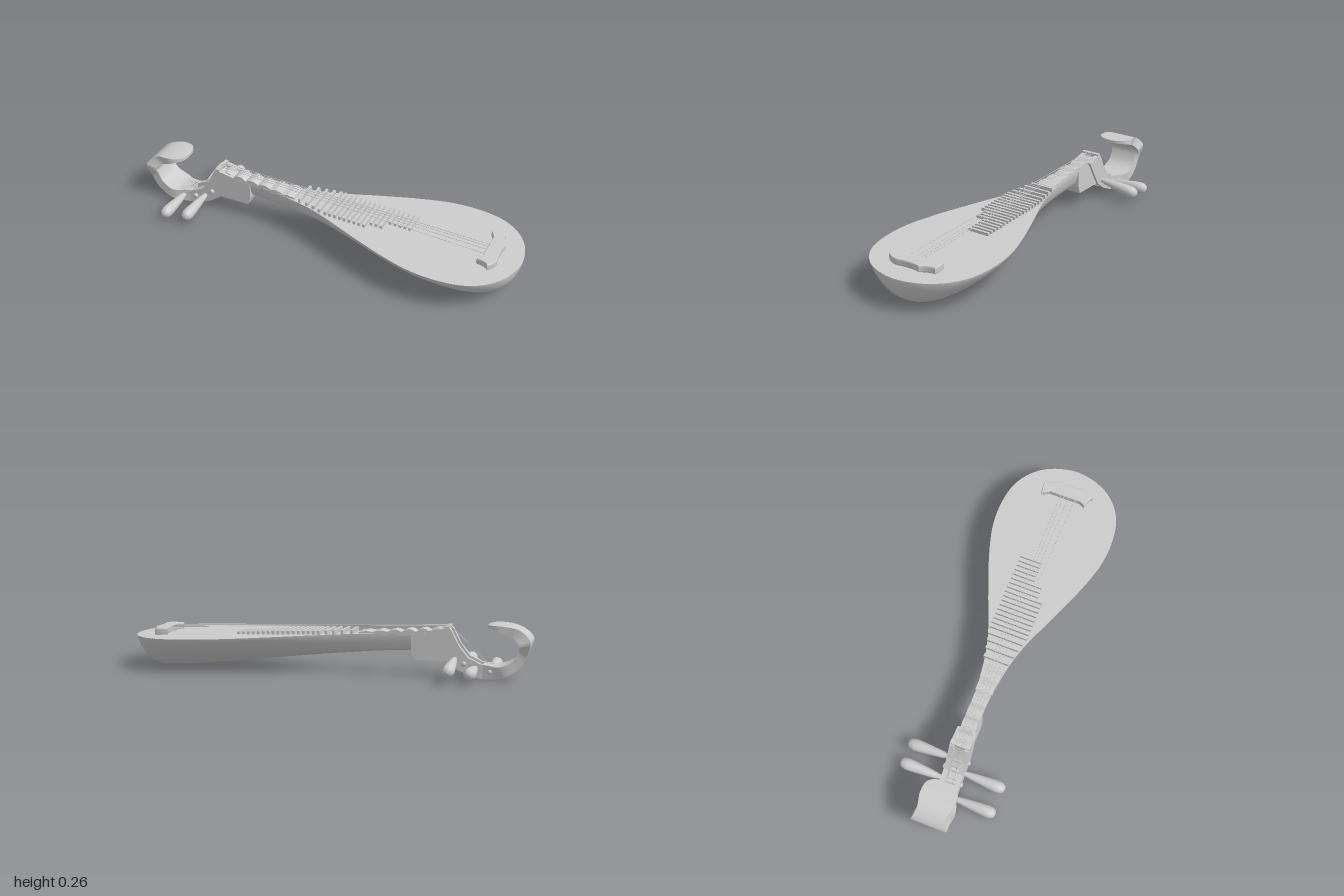
import * as THREE from 'three';
import { toCreasedNormals } from 'three/addons/utils/BufferGeometryUtils.js';

const material = new THREE.MeshStandardMaterial({ color: 0xcccccc, side: THREE.DoubleSide });
const topY = (x) => 0.196 - 0.031 * x; // soundboard height along the body

// Skin a row of equal-length rings of points and cap both ends
function loft(rings, crease = 0.7) {
  const n = rings[0].length, pos = rings.flat(2), index = [];
  for (let i = 0; i < rings.length - 1; i++) {
    for (let j = 0; j < n; j++) {
      const k = (j + 1) % n, a = i * n, b = a + n;
      index.push(a + j, b + j, a + k, b + j, b + k, a + k);
    }
  }
  const e = (rings.length - 1) * n;
  for (let j = 1; j < n - 1; j++) index.push(0, j, j + 1, e, e + j + 1, e + j);
  const g = new THREE.BufferGeometry();
  g.setAttribute('position', new THREE.Float32BufferAttribute(pos, 3));
  g.setIndex(index);
  return toCreasedNormals(g, crease);
}

// Band through [outerX, outerY, innerX, innerY, halfWidth] sections
function band(sections, steps) {
  const outer = new THREE.CatmullRomCurve3(sections.map((s) => new THREE.Vector3(s[0], s[1], s[4])));
  const inner = new THREE.CatmullRomCurve3(sections.map((s) => new THREE.Vector3(s[2], s[3], s[4])));
  const rings = [];
  for (let i = 0; i <= steps; i++) {
    const o = outer.getPoint(i / steps), p = inner.getPoint(i / steps);
    rings.push([[o.x, o.y, o.z], [o.x, o.y, -o.z], [p.x, p.y, -o.z], [p.x, p.y, o.z]]);
  }
  return loft(rings, 0.6);
}

// Side profile in x,y extruded from z0 to z1
function slab(points, z0, z1) {
  const shape = new THREE.Shape(points.map((p) => new THREE.Vector2(...p)));
  const g = new THREE.ExtrudeGeometry(shape, { depth: z1 - z0, bevelEnabled: false });
  return g.translate(0, 0, z0);
}

export function createModel() {
  const root = new THREE.Group();
  const add = (name, geometry) => {
    const mesh = new THREE.Mesh(geometry, material);
    mesh.name = name;
    root.add(mesh);
    return mesh;
  };

  // Pear-shaped body and neck: [x, halfWidth, bottomY]
  const keys = [
    [-0.52, 0.034, 0.13], [-0.4, 0.036, 0.124], [-0.3, 0.041, 0.118], [-0.2, 0.053, 0.11], [-0.1, 0.071, 0.1],
    [0, 0.1, 0.09], [0.2, 0.18, 0.068], [0.4, 0.255, 0.045], [0.55, 0.295, 0.028],
    [0.68, 0.303, 0.015], [0.8, 0.284, 0.006], [0.88, 0.243, 0.01], [0.94, 0.183, 0.042],
    [0.975, 0.12, 0.085], [0.995, 0.05, 0.135], [1, 0.008, 0.155],
  ];
  const profile = new THREE.CatmullRomCurve3(keys.map((k) => new THREE.Vector3(...k)));
  const rings = profile.getPoints(75).map((p) => {
    const ring = [];
    for (let j = 0; j <= 32; j++) {
      const a = (j / 32) * Math.PI, top = topY(p.x);
      ring.push([p.x, top - (top - p.z) * Math.pow(Math.abs(Math.sin(a)), 1.55), -p.y * Math.cos(a)]);
    }
    return ring;
  });
  add('body', loft(rings));

  // Heel block where the neck meets the peg box
  add('heel', slab([[-0.6, 0.083], [-0.435, 0.083], [-0.42, 0.125], [-0.42, 0.206], [-0.53, 0.215]], -0.038, 0.038));

  // Peg box: two cheeks with an open slot above a floor
  const cheek = [
    [-0.83, 0.012], [-0.78, 0.004], [-0.72, 0.013], [-0.65, 0.045], [-0.595, 0.085], [-0.51, 0.228],
    [-0.6, 0.246], [-0.615, 0.238], [-0.655, 0.16], [-0.7, 0.105], [-0.76, 0.076], [-0.83, 0.068],
  ];
  for (const s of [0, 1]) add('pegBoxCheek', slab(cheek, s ? 0.026 : -0.05, s ? 0.05 : -0.026));
  add('pegBoxFloor', band([
    [-0.53, 0.2, -0.59, 0.235, 0.03], [-0.595, 0.095, -0.63, 0.13, 0.03], [-0.65, 0.053, -0.67, 0.075, 0.03],
    [-0.72, 0.02, -0.73, 0.045, 0.03], [-0.8, 0.012, -0.8, 0.045, 0.03],
  ], 16));
  add('nut', new THREE.BoxGeometry(0.02, 0.03, 0.1).translate(-0.598, 0.238, 0));

  // Curled head with flared ridge and rounded tip
  add('scrollHead', band([
    [-0.77, 0.005, -0.77, 0.075, 0.05], [-0.82, 0.008, -0.82, 0.068, 0.062],
    [-0.875, 0.022, -0.86, 0.072, 0.078], [-0.945, 0.065, -0.915, 0.1, 0.075],
    [-0.975, 0.115, -0.942, 0.148, 0.075], [-0.998, 0.192, -0.945, 0.175, 0.09],
    [-0.985, 0.217, -0.93, 0.197, 0.082], [-0.94, 0.25, -0.905, 0.214, 0.075],
    [-0.875, 0.265, -0.86, 0.234, 0.087], [-0.82, 0.267, -0.82, 0.247, 0.077],
    [-0.797, 0.266, -0.797, 0.25, 0.048], [-0.789, 0.265, -0.789, 0.251, 0.01],
  ], 66));

  // Tuning pegs: [x, y at the box, y at the tip, z of the tip]
  const pegProfile = [
    [0, -0.02], [0.012, -0.02], [0.013, 0.37], [0.017, 0.42], [0.023, 0.6],
    [0.029, 0.8], [0.03, 0.88], [0.026, 0.95], [0.016, 0.99], [0, 1],
  ];
  const pegs = [[-0.805, 0.042, 0.04, 0.258], [-0.68, 0.075, 0.062, 0.258], [-0.735, 0.055, 0.058, -0.265], [-0.635, 0.11, 0.062, -0.265]];
  for (const [x, y0, y1, z] of pegs) {
    const start = new THREE.Vector3(x, y0, -Math.sign(z) * 0.055);
    const dir = new THREE.Vector3(x, y1, z).sub(start);
    const points = pegProfile.map(([r, t]) => new THREE.Vector2(r, t * dir.length()));
    const peg = add('tuningPeg', new THREE.LatheGeometry(points, 20));
    peg.position.copy(start);
    peg.quaternion.setFromUnitVectors(new THREE.Vector3(0, 1, 0), dir.normalize());
  }

  // Large wedge frets on the neck
  for (let i = 0; i < 6; i++) {
    const x = -0.585 + i * 0.07, b = topY(x) - 0.01, t = 0.241 - i * 0.005, w = 0.037 + (i > 3 ? (i - 3) * 0.006 : 0);
    add('neckFret', slab([[x, b], [x + 0.072, b], [x + 0.072, b + 0.016], [x + 0.05, t - 0.003], [x + 0.035, t], [x + 0.02, t - 0.003], [x, b + 0.018]], -w, w));
  }

  // Thin frets over the soundboard, shortened in steps on the front side
  const fretX = [-0.13, -0.085, -0.045, -0.008];
  for (let x = 0.027; x < 0.445; x += 0.0258) fretX.push(x);
  fretX.forEach((x, i) => {
    const z0 = -Math.min(0.1, 0.07 + i * 0.008);
    const z1 = x > 0.33 ? 0.015 : x > 0.245 ? 0.065 : Math.min(0.095, 0.06 + i * 0.009);
    const h = 0.022 - 0.012 * (x + 0.13);
    add('fret', new THREE.BoxGeometry(0.013, h, z1 - z0).translate(x, topY(x) + h / 2 - 0.001, (z0 + z1) / 2));
  });

  // Bridge with flared ends
  const plan = new THREE.Shape();
  plan.moveTo(0.81, -0.125);
  plan.quadraticCurveTo(0.845, -0.135, 0.87, -0.13);
  plan.quadraticCurveTo(0.87, -0.09, 0.895, -0.06);
  plan.quadraticCurveTo(0.882, 0, 0.895, 0.06);
  plan.quadraticCurveTo(0.9, 0.09, 0.872, 0.125);
  plan.quadraticCurveTo(0.86, 0.105, 0.815, 0.1);
  plan.quadraticCurveTo(0.835, 0.08, 0.83, 0.05);
  plan.lineTo(0.83, -0.09);
  const bridge = new THREE.ExtrudeGeometry(plan, { depth: 0.018, bevelThickness: 0.008, bevelSize: 0.004, bevelSegments: 2 });
  add('bridge', bridge.rotateX(Math.PI / 2).translate(0, 0.195, 0));

  // Four strings from bridge over the nut into the peg box
  [-0.03, -0.012, 0.013, 0.048].forEach((z, i) => {
    const zn = -0.018 + i * 0.012;
    const path = new THREE.CurvePath();
    const a = new THREE.Vector3(0.835, 0.199, z), b = new THREE.Vector3(-0.598, 0.254, zn);
    const c = new THREE.Vector3([-0.735, -0.635, -0.68, -0.805][i], [0.07, 0.12, 0.09, 0.055][i], zn);
    path.add(new THREE.LineCurve3(a, b));
    path.add(new THREE.LineCurve3(b, c));
    path.curves.forEach((line) => add('string', new THREE.TubeGeometry(line, 1, 0.0014, 6)));
  });

  return root;
}
